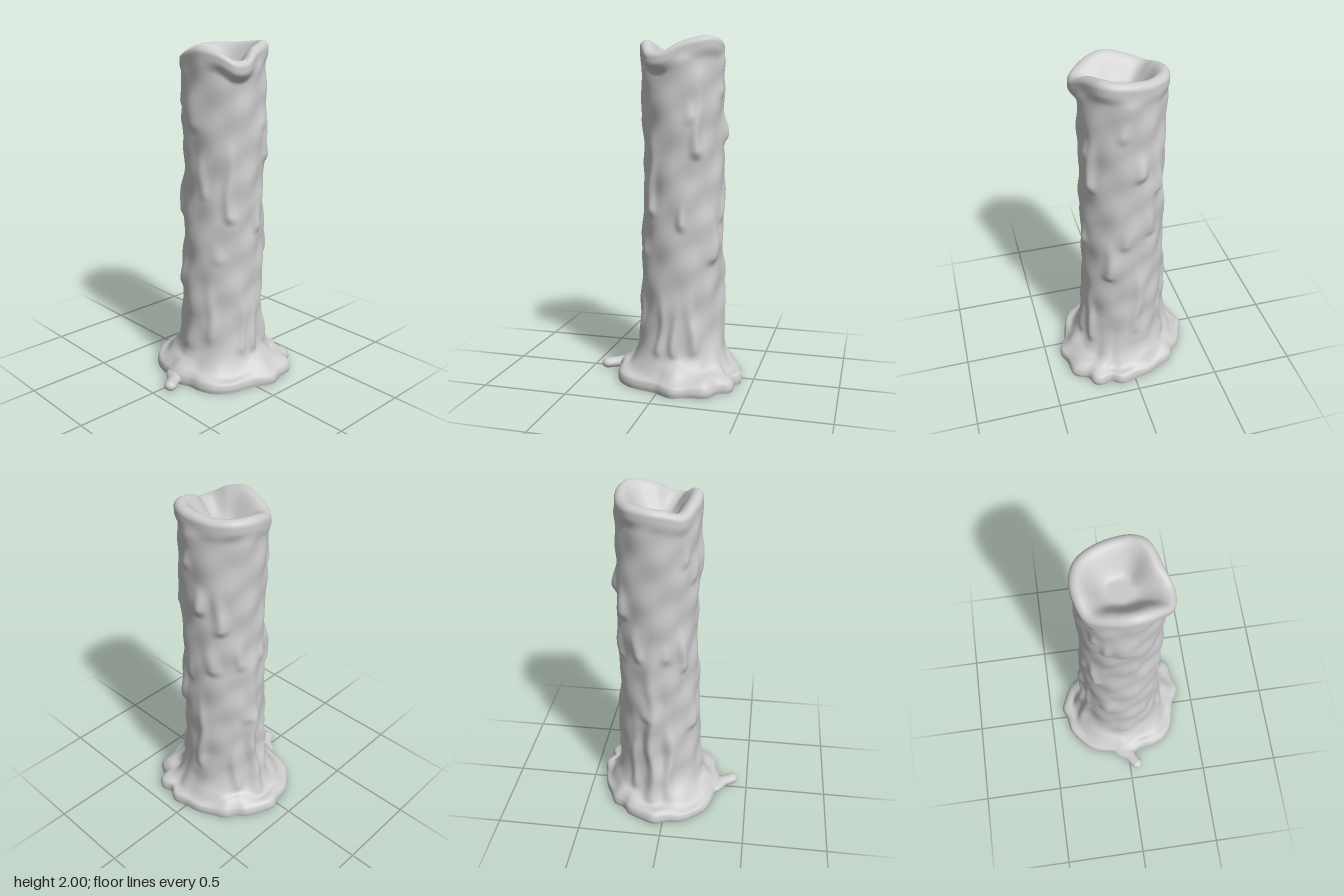
import * as THREE from 'three';

const CX = 0.063, TAU = Math.PI * 2, N = 180;
const lerp = THREE.MathUtils.lerp, smooth = THREE.MathUtils.smoothstep;
const material = new THREE.MeshStandardMaterial({ color: 0xcccccc });

// Turns a closed outline of [x, z, y] points into radius and height per angle.
function polarOutline(points) {
  const curve = new THREE.CatmullRomCurve3(points.map(([x, z, y = 0]) => new THREE.Vector3(x - CX, y, z)), true);
  const samples = curve.getPoints(700).map(p => ({ a: Math.atan2(p.z, p.x), r: Math.hypot(p.x, p.z), y: p.y }));
  return angle => {
    let r = 0, y = 0, sum = 0;
    for (const s of samples) {
      const d = Math.abs(Math.atan2(Math.sin(angle - s.a), Math.cos(angle - s.a)));
      if (d > 0.06) continue;
      const w = Math.exp(-((d / 0.02) ** 2));
      r += s.r * w; y += s.y * w; sum += w;
    }
    return { r: r / sum, y: y / sum };
  };
}

// Wavy rim: low at the front lip and at the rear right notch
const rimAt = polarOutline([
  [0.3, 0, 1.985], [0.295, 0.1, 1.995], [0.25, 0.17, 2.0], [0.1, 0.23, 1.965], [0, 0.265, 1.915],
  [-0.08, 0.25, 1.915], [-0.14, 0.16, 1.965], [-0.175, 0.05, 1.985], [-0.155, -0.08, 1.96],
  [-0.1, -0.19, 1.93], [0, -0.237, 1.955], [0.1, -0.247, 1.97], [0.2, -0.212, 1.975], [0.27, -0.12, 1.975],
]);

// Edge of the wax pool
const poolAt = polarOutline([
  [0.44, 0.09], [0.42, 0], [0.4, -0.1], [0.36, -0.18], [0.32, -0.26], [0.26, -0.29], [0.22, -0.34],
  [0.12, -0.39], [0.05, -0.415], [-0.02, -0.39], [-0.11, -0.375], [-0.18, -0.33], [-0.26, -0.25],
  [-0.29, -0.17], [-0.305, -0.09], [-0.325, -0.04], [-0.325, 0.03], [-0.3, 0.1], [-0.29, 0.18],
  [-0.25, 0.26], [-0.17, 0.32], [-0.06, 0.35], [0, 0.365], [0.04, 0.39], [0.1, 0.412], [0.18, 0.385],
  [0.29, 0.37], [0.32, 0.33], [0.34, 0.285], [0.4, 0.26], [0.42, 0.21], [0.4, 0.16],
]);

// Runs of wax: angle in degrees, lower end, upper end, thickness, half width
const drips = [
  [113, 1.82, 1.95, 0.016, 0.05], [124, 1.0, 1.5, 0.022, 0.03], [57, 1.33, 1.75, 0.026, 0.03],
  [76, 0.92, 1.1, 0.022, 0.025], [30, 0.72, 1.05, 0.024, 0.035], [106, 0.18, 0.62, 0.018, 0.025],
  [86, 0.18, 0.5, 0.022, 0.025], [64, 0.2, 0.65, 0.024, 0.03], [70, 1.52, 1.68, 0.012, 0.03],
  [-10, 1.41, 1.6, 0.026, 0.035], [-39, 1.3, 1.65, 0.024, 0.035], [-28, 1.02, 1.3, 0.02, 0.04],
  [-10, 0.3, 1.0, 0.016, 0.03], [10, 1.66, 1.8, 0.014, 0.03], [-66, 1.05, 1.3, 0.016, 0.03],
  [-60, 0.15, 0.75, 0.016, 0.03], [-87, 0.1, 1.25, 0.04, 0.035], [225, 1.63, 1.78, 0.016, 0.025],
  [208, 1.52, 1.72, 0.018, 0.025], [229, 0.98, 1.3, 0.022, 0.028], [250, 0.1, 0.8, 0.026, 0.03],
  [208, 0.55, 0.8, 0.018, 0.04], [165, 1.13, 1.5, 0.008, 0.03], [180, 1.52, 1.75, 0.012, 0.06],
  [180, 0.2, 0.7, 0.012, 0.05], [150, 0.25, 0.75, 0.012, 0.03], [8, 0.95, 1.12, 0.014, 0.03],
  [250, 1.05, 1.2, 0.014, 0.03], [280, 0.65, 0.85, 0.014, 0.04], [140, 0.75, 0.95, 0.01, 0.04],
];

function dripHeight(angle, y) {
  let h = 0;
  for (const [deg, low, high, thick, width] of drips) {
    const sway = 0.05 * Math.sin(y * 14 + deg);
    const d = angle - THREE.MathUtils.degToRad(deg) - sway;
    const across = Math.atan2(Math.sin(d), Math.cos(d)) * 0.24 / width;
    const along = smooth(y, low - 0.025, low + 0.04) * (1 - smooth(y, low + (high - low) * 0.2, high));
    h += thick * along * Math.exp(-across * across);
  }
  return h;
}

// Gentle unevenness of the wax
const ripple = (a, y) => 0.0028 * (Math.sin(3 * a + 7 * y) + Math.sin(5 * a - 17 * y + 1)
  + Math.sin(9 * a + 13 * y + 2) + Math.sin(4 * a + 31 * y));

function wallRadius(angle, y, rim) {
  // the candle narrows a little on its right side around mid height
  const waist = 0.016 * Math.max(0, -Math.cos(angle)) * Math.exp(-(((y - 1.25) / 0.25) ** 2));
  const foot = 0.012 * smooth(0.9 - y, 0, 0.6) * Math.max(0, -Math.cos(angle));
  const body = 0.238 - waist + foot + ripple(angle, y) + dripHeight(angle, y);
  return lerp(body, rim.r, smooth(y, rim.y - 0.13, rim.y - 0.06));
}

// Pool and flare, as [share of the way out to the pool edge, height]
const skirt = new THREE.CatmullRomCurve3([
  [0.97, 0], [1, 0.024], [0.965, 0.05], [0.85, 0.068], [0.62, 0.088], [0.42, 0.115], [0.25, 0.15],
  [0.12, 0.205], [0.04, 0.29], [0, 0.4],
].map(([g, y]) => new THREE.Vector3(g, y, 0))).getPoints(36);

// One vertical slice through pool, wall, rim and bowl, as [radius, height] pairs
function slice(angle) {
  const rim = rimAt(angle), pool = poolAt(angle), out = [];
  for (const p of skirt) {
    const wall = wallRadius(angle, p.y, rim);
    const lump = Math.sin(Math.PI * THREE.MathUtils.clamp(p.x, 0, 1))
      * (0.012 * Math.sin(3 * angle + 1 + p.x * 5) + 0.007 * Math.sin(7 * angle - p.x * 6));
    out.push([lerp(wall, pool.r, p.x), p.y + lump]);
  }
  const top = rim.y - 0.035;
  for (let j = 1; j <= 150; j++) {
    const y = lerp(0.4, top, j / 150);
    out.push([wallRadius(angle, y, rim), y]);
  }
  // rounded rim
  for (let j = 1; j <= 8; j++) {
    const t = j / 8 * Math.PI / 2;
    out.push([rim.r - 0.038 * (1 - Math.cos(t)), top + 0.035 * Math.sin(t)]);
  }
  // shallow bowl
  const [r0, y0] = out[out.length - 1];
  for (let j = 1; j <= 18; j++) {
    const t = j / 18;
    out.push([r0 * (1 - t), lerp(y0, 1.84, smooth(t, 0, 0.7))]);
  }
  return out;
}

function candleGeometry() {
  const slices = Array.from({ length: N }, (_, i) => slice(i / N * TAU));
  const M = slices[0].length, pos = [], index = [];
  slices.forEach((s, i) => {
    const a = i / N * TAU;
    for (const [r, y] of s) pos.push(CX + r * Math.cos(a), y, r * Math.sin(a));
  });
  for (let i = 0; i < N; i++) {
    for (let j = 0; j < M - 1; j++) {
      const a = i * M + j, b = ((i + 1) % N) * M + j;
      index.push(a, a + 1, b, b, a + 1, b + 1);
    }
  }
  const geo = new THREE.BufferGeometry();
  geo.setAttribute('position', new THREE.Float32BufferAttribute(pos, 3));
  geo.setIndex(index);
  geo.computeVertexNormals();
  return geo;
}

// Finger of wax that ran out to the side: a flattened tube with a wide root
function fingerGeometry() {
  const path = new THREE.CatmullRomCurve3([
    [-0.24, -0.03], [-0.3, -0.018], [-0.345, 0.008], [-0.38, 0.03], [-0.402, 0.045],
  ].map(([x, z]) => new THREE.Vector3(x, 0.031, z)));
  const geo = new THREE.TubeGeometry(path, 24, 1, 20);
  const p = geo.attributes.position, v = new THREE.Vector3();
  for (let i = 0; i <= 24; i++) {
    const t = i / 24, c = path.getPointAt(t);
    const wide = lerp(0.11, 0.037, smooth(t, -0.1, 0.75));
    for (let k = 0; k <= 20; k++) {
      const n = i * 21 + k;
      v.fromBufferAttribute(p, n).sub(c);
      p.setXYZ(n, c.x + v.x * wide, c.y + v.y * 0.03, c.z + v.z * wide);
    }
  }
  geo.computeVertexNormals();
  return geo;
}

export function createModel() {
  const group = new THREE.Group();
  group.name = 'meltedCandle';
  const add = (name, geo) => {
    const mesh = new THREE.Mesh(geo, material);
    mesh.name = name;
    group.add(mesh);
    return mesh;
  };

  add('waxBody', candleGeometry());

  // flat underside
  const edge = Array.from({ length: N }, (_, i) => {
    const a = i / N * TAU;
    const r = lerp(wallRadius(a, 0, rimAt(a)), poolAt(a).r, 0.97);
    return new THREE.Vector2(CX + r * Math.cos(a), r * Math.sin(a));
  });
  add('underside', new THREE.ShapeGeometry(new THREE.Shape(edge)).rotateX(Math.PI / 2));

  add('waxFinger', fingerGeometry());
  const tip = add('waxFingerTip', new THREE.SphereGeometry(0.038, 24, 16));
  tip.scale.y = 0.8;
  tip.position.set(-0.402, 0.031, 0.045);
  return group;
}
